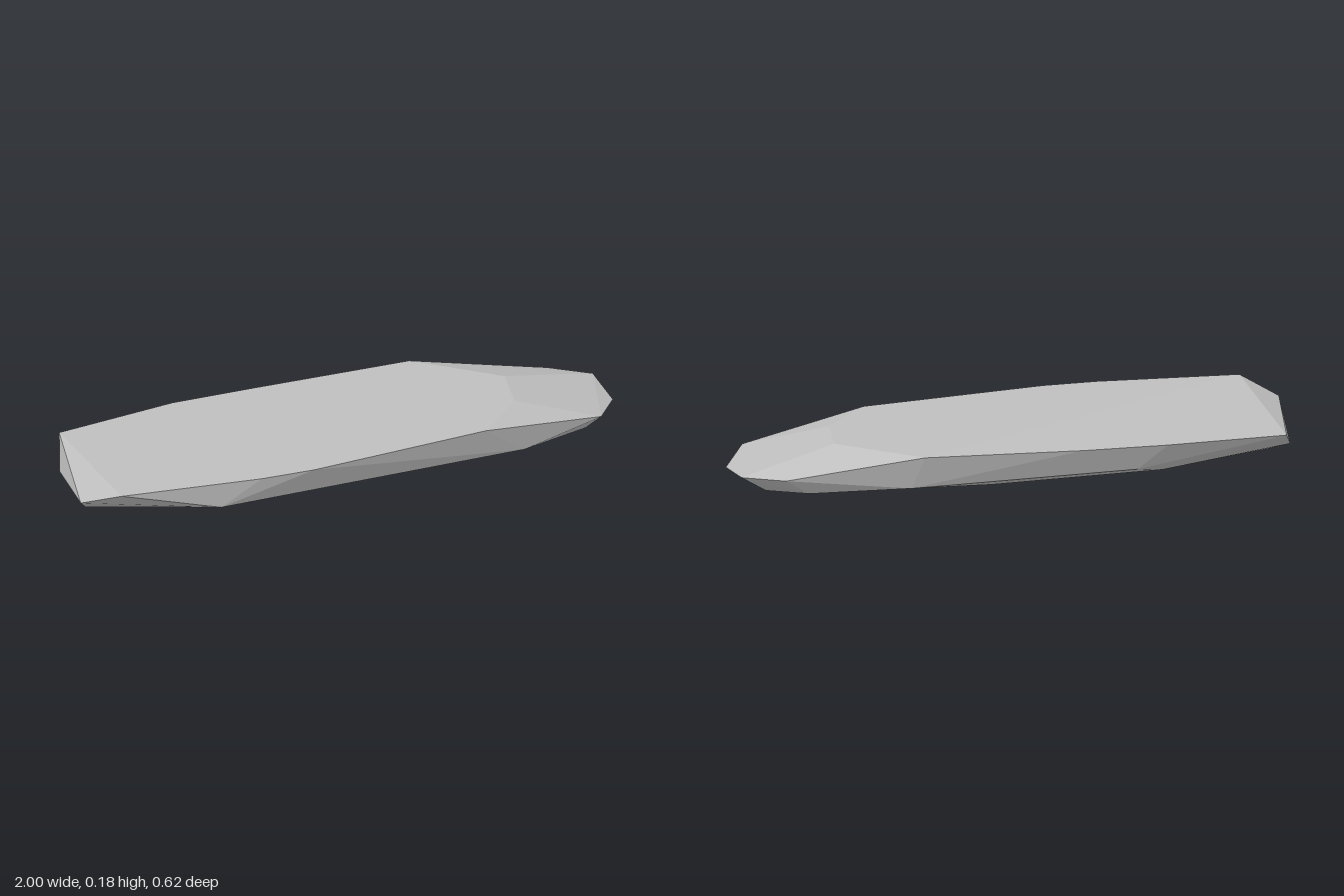
import * as THREE from 'three';
import { ConvexGeometry } from 'three/addons/geometries/ConvexGeometry.js';

const stone = new THREE.MeshStandardMaterial({ color: 0xbfbfbf });
stone.name = 'stoneGrey';

// Corner rings of the faceted slab, each corner as [x, y, z]
const topRim = [
  [-0.88, 0.185, 0.27], [-0.38, 0.185, 0.31], [-0.19, 0.185, 0.31], [0.46, 0.185, 0.245],
  [0.62, 0.185, 0.08], [0.64, 0.185, -0.09], [0.36, 0.185, -0.295],
  [-0.2, 0.172, -0.31], [-0.5, 0.168, -0.31], [-0.93, 0.153, -0.265], [-1, 0.13, 0.18],
];
const noseRim = [
  [0.91, 0.113, 0.163], [1, 0.086, 0.02], [0.98, 0.105, -0.14], [0.84, 0.11, -0.22],
];
const lowerRim = [
  [-0.52, 0.082, 0.285], [0.62, 0.05, 0.19], [0.75, 0.045, -0.19], [0.4, 0.06, -0.255],
  [-0.4, 0.07, -0.265], [-0.97, 0.073, -0.14], [-0.96, 0.068, 0.11],
];
const underside = [
  [0.88, 0.027, 0.08], [0.88, 0.027, -0.08], [0.62, 0.002, 0.035], [0.6, 0.002, -0.07],
  [0, 0.003, 0], [0.1, 0.025, 0.15], [0.1, 0.03, -0.2], [-0.5, 0.022, 0.05],
  [-0.5, 0.04, -0.21], [-0.91, 0.044, 0.04], [-0.9, 0.044, -0.1],
];

export function createModel() {
  const group = new THREE.Group();
  group.name = 'flatRock';

  // ConvexGeometry gives one flat normal per facet
  const corners = [...topRim, ...noseRim, ...lowerRim, ...underside];
  const geometry = new ConvexGeometry(corners.map((p) => new THREE.Vector3(...p)));
  geometry.translate(0, -0.002, 0);

  const slab = new THREE.Mesh(geometry, stone);
  slab.name = 'stoneSlab';
  group.add(slab);
  return group;
}
